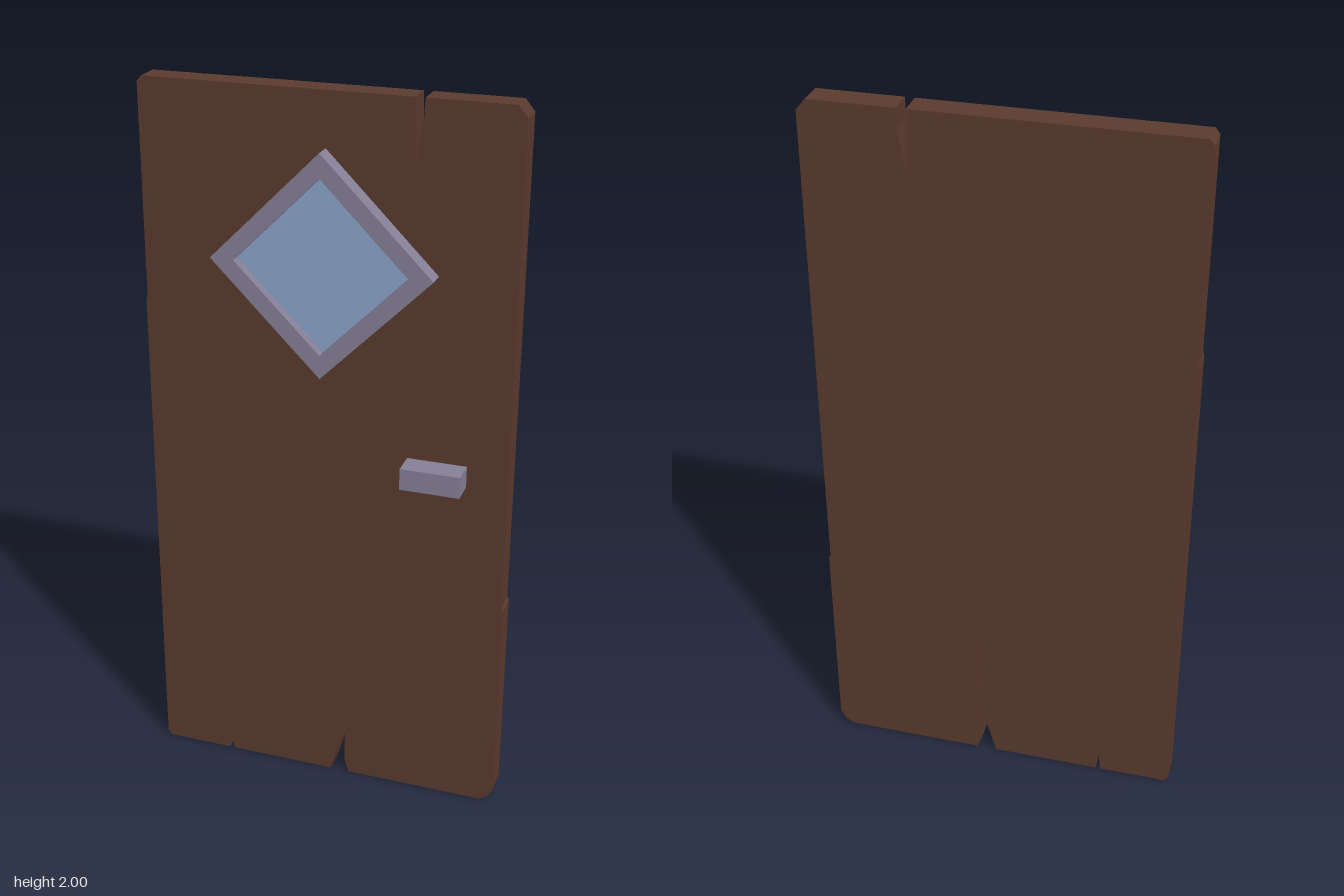
import * as THREE from 'three';

const material = (color) => new THREE.MeshStandardMaterial({ color, flatShading: true });

const toShape = (points) => new THREE.Shape(points.map(([x, y]) => new THREE.Vector2(x, y)));

const diamond = (r) => [[0, -r], [r, 0], [0, r], [-r, 0]];

function extrude(name, shape, depth, mat) {
  const geometry = new THREE.ExtrudeGeometry(shape, { depth, bevelEnabled: false });
  const mesh = new THREE.Mesh(geometry, mat);
  mesh.name = name;
  return mesh;
}

export function createModel() {
  const group = new THREE.Group();
  group.name = 'door';
  const wood = material(0x5a3a2e);
  const metal = material(0x858096);
  const glass = material(0x8ca5cc);

  // Worn wooden slab: chipped corners, two cracks at the bottom and one at the top
  const outline = [
    [-0.495, 0], [-0.305, 0], [-0.298, 0.055], [-0.29, 0],
    [0.015, 0], [0.043, 0.1], [0.064, 0.45], [0.058, 0.04], [0.072, 0],
    [0.465, 0], [0.49, 0.015], [0.505, 0.045], [0.505, 0.63], [0.5, 0.64], [0.5, 1.97], [0.475, 2],
    [0.25, 2], [0.248, 1.95], [0.23, 1.84], [0.225, 2],
    [-0.49, 2], [-0.502, 1.985], [-0.502, 1.42], [-0.506, 1.4], [-0.507, 0.015],
  ];
  const slab = extrude('doorSlab', toShape(outline), 0.073, wood);
  slab.position.z = -0.073;
  group.add(slab);

  // Diamond window: raised frame with a recessed pane
  const rim = toShape(diamond(0.297));
  rim.holes.push(new THREE.Path(diamond(0.233).map(([x, y]) => new THREE.Vector2(x, y))));
  const frame = extrude('windowFrame', rim, 0.049, metal);
  const pane = extrude('windowPane', toShape(diamond(0.233)), 0.022, glass);
  for (const part of [frame, pane]) {
    part.position.y = 1.56;
    group.add(part);
  }

  // Block handle on the face
  const handle = new THREE.Mesh(new THREE.BoxGeometry(0.162, 0.06, 0.07), metal);
  handle.name = 'handle';
  handle.position.set(0.308, 1.02, 0.035);
  group.add(handle);

  return group;
}
